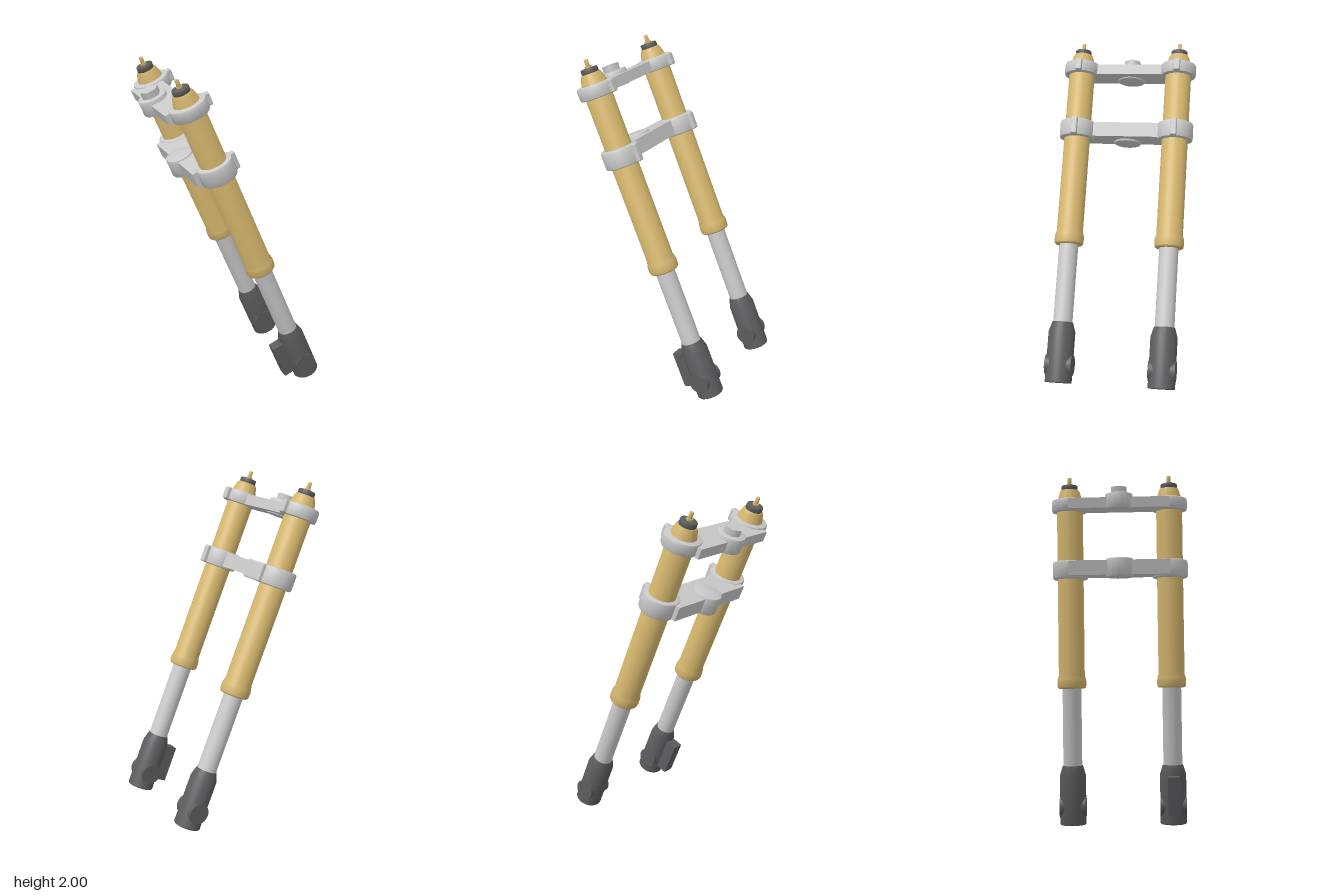
import * as THREE from 'three';
import { toCreasedNormals } from 'three/addons/utils/BufferGeometryUtils.js';
import { RoundedBoxGeometry } from 'three/addons/geometries/RoundedBoxGeometry.js';

const mat = (name, color) => {
  const m = new THREE.MeshStandardMaterial({ color });
  m.name = name;
  return m;
};

export function createModel() {
  const gold = mat('anodised gold', 0xd3b46c);
  const silver = mat('brushed silver', 0xc8c8c8);
  const chrome = mat('polished steel', 0xcacaca);
  const dark = mat('dark grey', 0x5c5c5e);

  const add = (parent, name, geo, material, x = 0, y = 0, z = 0) => {
    const m = new THREE.Mesh(geo, material);
    m.name = name;
    m.position.set(x, y, z);
    parent.add(m);
    return m;
  };

  // Turned part: profile of [radius, height] from bottom to top
  const turned = (profile, segments = 48) => toCreasedNormals(
    new THREE.LatheGeometry(profile.map(([r, h]) => new THREE.Vector2(r, h)), segments), 0.6);

  // Solid disc with rounded rims
  const disc = (r, h0, h1, b) => turned([
    [0, h0], [r - b, h0], [r - b * 0.3, h0 + b * 0.3], [r, h0 + b],
    [r, h1 - b], [r - b * 0.3, h1 - b * 0.3], [r - b, h1], [0, h1]]);

  const model = new THREE.Group();
  model.name = 'forkAssembly';

  // Everything is built upright, then leaned back
  const fork = new THREE.Group();
  fork.name = 'leaningFork';
  fork.position.set(0.44, 0.034, 0);
  fork.rotation.z = 0.405;
  model.add(fork);

  const clamps = [
    { name: 'upper', s0: 1.917, s1: 1.995, bar0: 1.922, bar1: 1.985, boss0: 1.914, boss1: 2.01 },
    { name: 'lower', s0: 1.502, s1: 1.612, bar0: 1.515, bar1: 1.605, boss0: 1.502, boss1: 1.616 },
  ];

  for (const side of [1, -1]) {
    const leg = new THREE.Group();
    leg.name = side > 0 ? 'frontLeg' : 'backLeg';
    leg.position.z = side * 0.307;
    fork.add(leg);

    // Axle foot with a round cross boss
    add(leg, 'foot', turned([[0, 0], [0.077, 0], [0.08, 0.004], [0.08, 0.3],
      [0.062, 0.358], [0, 0.358]]), dark);
    add(leg, 'axleBoss', new THREE.CylinderGeometry(0.063, 0.063, 0.16, 40), dark, 0, 0.105, 0)
      .rotation.x = Math.PI / 2;

    // Inner and outer tubes
    add(leg, 'innerTube', new THREE.CylinderGeometry(0.058, 0.058, 0.55, 40), chrome, 0, 0.6, 0);
    add(leg, 'outerTube', turned([[0, 0.83], [0.08, 0.83], [0.087, 0.837], [0.089, 0.85],
      [0.089, 0.875], [0.087, 0.89], [0.08, 0.912], [0.08, 1.985], [0.076, 1.995],
      [0.064, 2.04], [0.056, 2.056], [0, 2.056]]), gold);

    // Top cap and adjuster pin
    add(leg, 'topCap', disc(0.05, 2.05, 2.086, 0.006), dark);
    add(leg, 'adjusterBase', new THREE.CylinderGeometry(0.02, 0.02, 0.012, 6), gold, 0, 2.091, 0);
    add(leg, 'adjusterPin', disc(0.012, 2.08, 2.136, 0.005), gold);

    // Clamp rings, each with a pinch tab
    for (const c of clamps) {
      add(leg, c.name + 'ClampRing', disc(0.11, c.s0, c.s1, 0.013), silver);
      add(leg, c.name + 'PinchTab', new RoundedBoxGeometry(0.07, c.s1 - c.s0 - 0.004, 0.04, 3, 0.008),
        silver, 0.097, (c.s0 + c.s1) / 2, 0);
    }
  }

  // Caliper lug on one foot only
  add(fork, 'caliperLug', new THREE.BoxGeometry(0.1, 0.225, 0.07), dark, -0.095, 0.183, 0.307);

  // Bridges joining the legs, each with a steering boss
  for (const c of clamps) {
    add(fork, c.name + 'Bridge', new THREE.BoxGeometry(0.172, c.bar1 - c.bar0, 0.614), silver,
      -0.05, (c.bar0 + c.bar1) / 2, 0);
    add(fork, c.name + 'SteeringBoss', disc(0.084, c.boss0, c.boss1, 0.008), silver, -0.095, 0, 0);
  }

  // Hex nut on the upper boss
  const nut = new THREE.CylinderGeometry(0.054, 0.054, 0.044, 6);
  add(fork, 'stemNut', nut, silver, -0.095, 2.028, 0).rotation.y = Math.PI / 6;

  return model;
}
